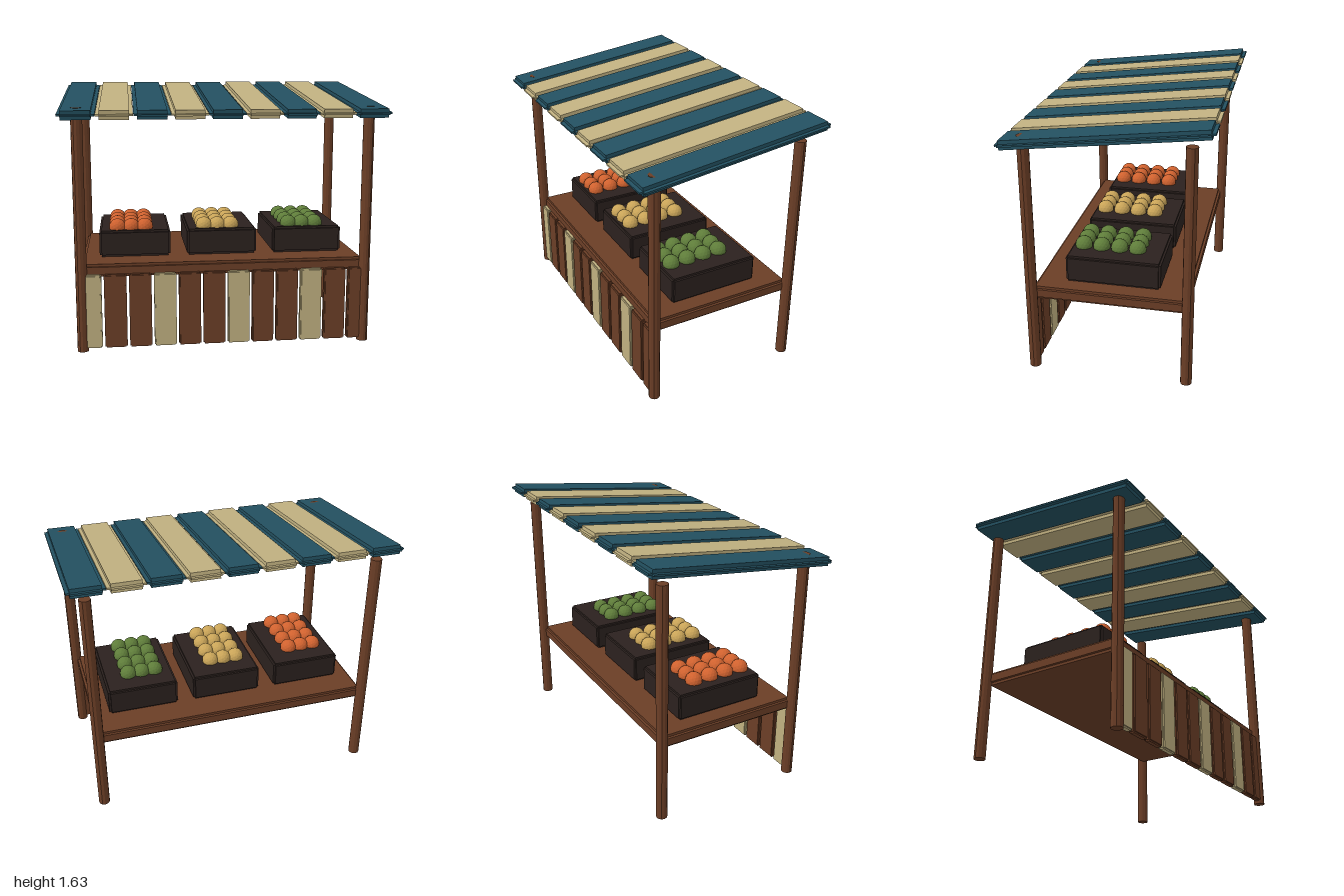
import * as THREE from 'three';

const material = (color) => new THREE.MeshStandardMaterial({ color, flatShading: true });
const wood = material(0x6b3e26);
const tan = material(0xc0b080);
const blue = material(0x235060);
const crateWood = material(0x2b211e);

// Box whose edges are cut back in a square step of size s
function steppedBox(name, w, h, d, s, mat) {
  const group = new THREE.Group();
  group.name = name;
  const c = 2 * s;
  for (const size of [[w, h - c, d - c], [w - c, h, d - c], [w - c, h - c, d]]) {
    const mesh = new THREE.Mesh(new THREE.BoxGeometry(...size), mat);
    mesh.name = name;
    group.add(mesh);
  }
  return group;
}

export function createModel() {
  const stall = new THREE.Group();
  stall.name = 'marketStall';
  const place = (part, x, y, z) => {
    part.position.set(x, y, z);
    stall.add(part);
    return part;
  };

  // Four corner posts
  const postGeometry = new THREE.CylinderGeometry(0.035, 0.035, 1.502, 12);
  for (const x of [-0.89, 0.89]) {
    for (const z of [-0.473, 0.473]) {
      const post = new THREE.Mesh(postGeometry, wood);
      post.name = 'post';
      place(post, x, 0.751, z);
    }
  }

  // Counter top
  place(steppedBox('counter', 1.77, 0.08, 0.94, 0.016, wood), 0, 0.505, 0);

  // Front skirt of planks, every third one painted
  for (let i = 0; i < 12; i++) {
    const plank = steppedBox('frontPlank', 0.138, 0.467, 0.042, 0.008, i % 3 ? wood : tan);
    place(plank, -0.838 + 0.1535 * i, 0.252, 0.474);
  }

  // Sloped canopy of alternating boards
  const canopy = new THREE.Group();
  canopy.name = 'canopy';
  for (let i = 0; i < 9; i++) {
    const board = steppedBox('canopyBoard', 0.22, 0.055, 1.218, 0.022, i % 2 ? tan : blue);
    board.position.x = (i - 4) * 0.2225;
    canopy.add(board);
  }
  canopy.rotation.x = 0.119;
  place(canopy, 0, 1.532, 0);

  // Crates of fruit
  const fruitGeometry = new THREE.IcosahedronGeometry(0.053, 2);
  const fruitColors = [0xd0622f, 0xc9a458, 0x5f7d3a];
  fruitColors.forEach((color, c) => {
    const x = (c - 1) * 0.556;
    place(steppedBox('crate', 0.45, 0.168, 0.58, 0.013, crateWood), x, 0.631, 0);
    const fruitMaterial = material(color);
    for (let i = 0; i < 3; i++) {
      for (let j = 0; j < 4; j++) {
        const fruit = new THREE.Mesh(fruitGeometry, fruitMaterial);
        fruit.name = 'fruit';
        place(fruit, x - 0.11 + 0.087 * i, 0.728, 0.215 - 0.112 * j);
      }
    }
  });

  return stall;
}
